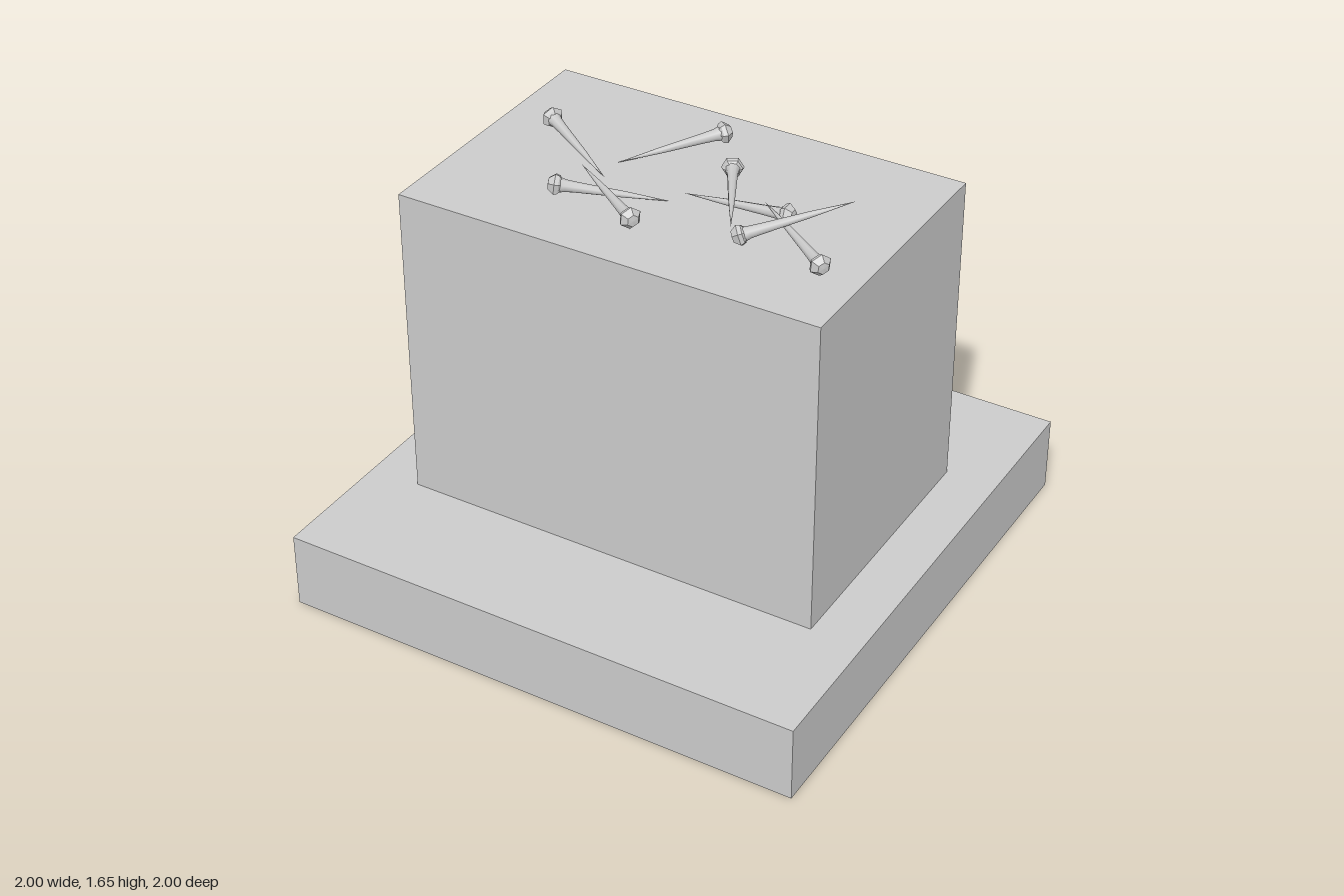
import * as THREE from 'three';

const material = new THREE.MeshStandardMaterial({ color: 0xcccccc });
const flat = new THREE.MeshStandardMaterial({ color: 0xcccccc, flatShading: true });

function block(name, w, h, d, y) {
  const mesh = new THREE.Mesh(new THREE.BoxGeometry(w, h, d), material);
  mesh.name = name;
  mesh.position.y = y + h / 2;
  return mesh;
}

// Spike lying between its head and tip, built along +y with the head centre at the origin
function spike(head, tip) {
  const from = new THREE.Vector3(...head);
  const dir = new THREE.Vector3(...tip).sub(from);
  const length = dir.length();
  const lathe = (points, sides) =>
    new THREE.LatheGeometry(points.map(([r, y]) => new THREE.Vector2(r, y)), sides);

  const group = new THREE.Group();
  group.name = 'spike';

  // Faceted six-sided head
  const headMesh = new THREE.Mesh(
    lathe([[0, -0.026], [0.022, -0.024], [0.04, -0.002], [0.035, 0.012], [0.018, 0.024]], 6), flat);
  headMesh.name = 'spikeHead';

  // Flared neck narrowing to a sharp point
  const shaft = new THREE.Mesh(
    lathe([[0.027, 0.012], [0.021, 0.035], [0.018, 0.08], [0.011, length * 0.6], [0, length]], 8), material);
  shaft.name = 'spikeShaft';

  group.add(headMesh, shaft);
  group.position.copy(from);
  group.quaternion.setFromUnitVectors(new THREE.Vector3(0, 1, 0), dir.normalize());
  return group;
}

export function createModel() {
  const model = new THREE.Group();
  model.name = 'pedestalWithSpikes';
  model.add(block('base', 2, 0.29, 2, 0), block('pedestal', 1.61, 1.21, 1.04, 0.29));

  // Scattered spikes: head centre, tip
  const spikes = [
    [[-0.6, 1.55, -0.12], [-0.26, 1.505, 0.08]],
    [[-0.03, 1.55, -0.33], [-0.28, 1.505, -0.03]],
    [[-0.34, 1.55, 0.265], [0.01, 1.505, 0.1]],
    [[-0.01, 1.55, 0.325], [-0.34, 1.545, 0.1]],
    [[0.115, 1.55, -0.135], [0.31, 1.56, 0.22]],
    [[0.425, 1.55, 0.045], [0.03, 1.515, 0.045]],
    [[0.665, 1.55, 0.265], [0.33, 1.565, 0.03]],
    [[0.34, 1.535, 0.215], [0.66, 1.655, 0.01]],
  ];
  for (const [head, tip] of spikes) model.add(spike(head, tip));
  return model;
}
